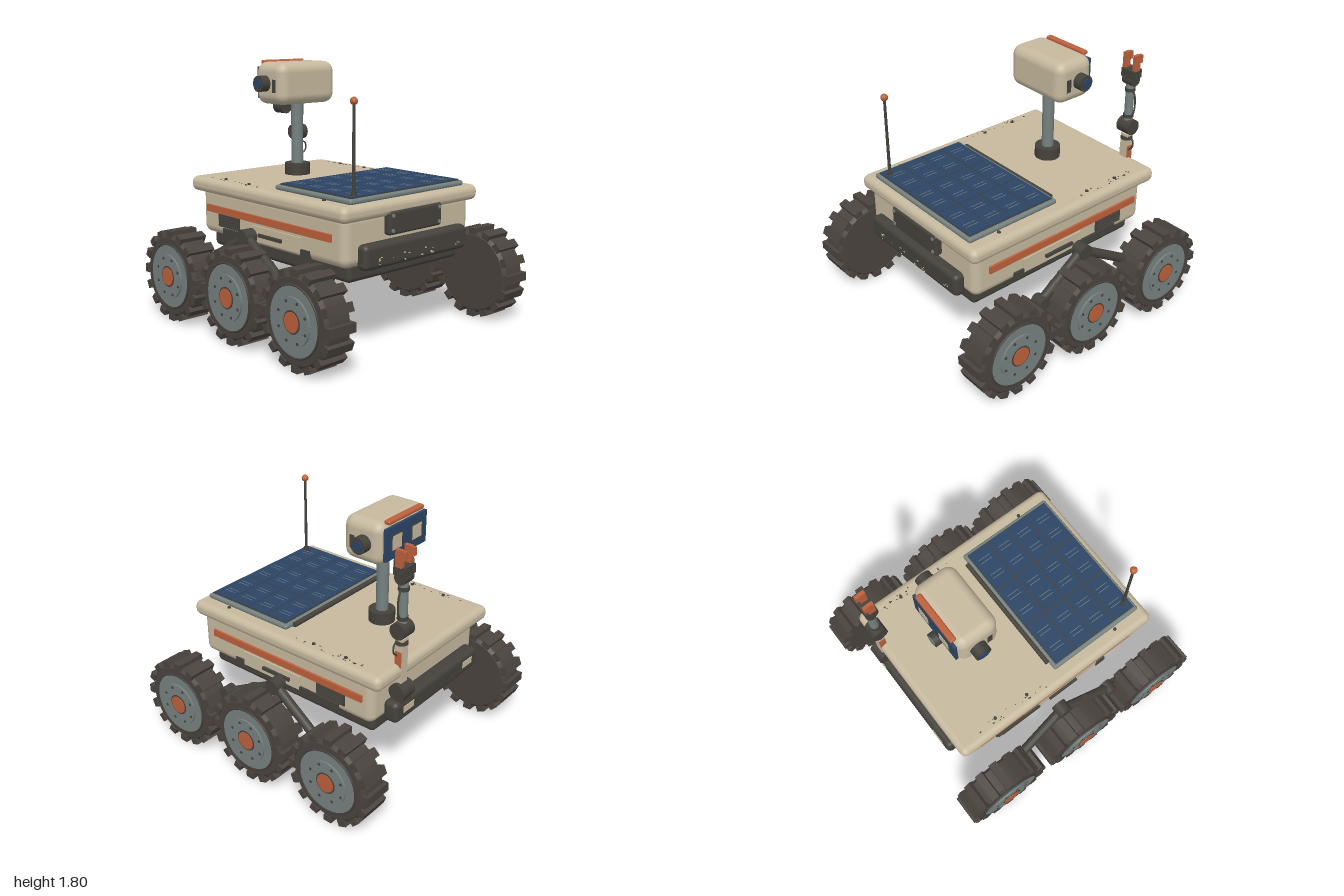
import * as THREE from 'three';
import { toCreasedNormals } from 'three/addons/utils/BufferGeometryUtils.js';
import { RoundedBoxGeometry } from 'three/addons/geometries/RoundedBoxGeometry.js';

const material = (name, color) => {
  const m = new THREE.MeshStandardMaterial({ color });
  m.name = name;
  return m;
};
const cream = material('cream paint', 0xc6b99e);
const charcoal = material('charcoal metal', 0x45423c);
const rubber = material('rubber', 0x4a433e);
const steel = material('steel', 0x75817f);
const blue = material('solar blue', 0x2b4565);
const orange = material('orange paint', 0xbd603b);

// Helpers: every part is placed by its centre.
function add(parent, name, geometry, mat, x = 0, y = 0, z = 0) {
  const mesh = new THREE.Mesh(geometry, mat);
  mesh.name = name;
  mesh.position.set(x, y, z);
  parent.add(mesh);
  return mesh;
}
const box = (w, h, d) => new THREE.BoxGeometry(w, h, d);
const rounded = (w, h, d, r) => new RoundedBoxGeometry(w, h, d, 4, r);
function cyl(r, length, axis = 'y', sides = 28, rTop = r) {
  const g = new THREE.CylinderGeometry(rTop, r, length, sides);
  if (axis === 'x') g.rotateZ(-Math.PI / 2);
  if (axis === 'z') g.rotateX(Math.PI / 2);
  return g;
}
function tube(parent, name, points, r, mat) {
  const path = new THREE.CatmullRomCurve3(points.map(p => new THREE.Vector3(...p)));
  return add(parent, name, new THREE.TubeGeometry(path, 16, r, 10), mat);
}
function rod(parent, name, a, b, r, mat) {
  const from = new THREE.Vector3(...a), to = new THREE.Vector3(...b);
  const dir = to.clone().sub(from);
  const mesh = add(parent, name, cyl(r, dir.length(), 'y', 16), mat);
  mesh.position.copy(from).add(to).multiplyScalar(0.5);
  mesh.quaternion.setFromUnitVectors(new THREE.Vector3(0, 1, 0), dir.normalize());
}
function seeded(seed) {
  return () => (seed = (seed * 16807) % 2147483647) / 2147483647;
}

// One wheel, outer face towards +x.
function makeWheel() {
  const wheel = new THREE.Group();
  const profile = [[0, -0.1], [0.27, -0.1], [0.293, -0.08], [0.293, 0.08], [0.27, 0.1], [0, 0.1]]
    .map(p => new THREE.Vector2(...p));
  const tyre = new THREE.LatheGeometry(profile, 48).rotateZ(-Math.PI / 2);
  add(wheel, 'tyre', toCreasedNormals(tyre, 0.4), rubber);
  for (let i = 0; i < 16; i++) {
    const a = (i / 16) * Math.PI * 2;
    const lug = add(wheel, 'treadLug', box(0.208, 0.045, 0.06), rubber, 0, 0.298 * Math.cos(a), 0.298 * Math.sin(a));
    lug.rotation.x = a;
  }
  add(wheel, 'rim', cyl(0.225, 0.02, 'x', 40), steel, 0.097);
  add(wheel, 'rimEdge', new THREE.TorusGeometry(0.225, 0.007, 8, 48).rotateY(Math.PI / 2), charcoal, 0.104);
  add(wheel, 'hubDisc', cyl(0.155, 0.02, 'x', 40), steel, 0.109);
  add(wheel, 'hubRing', cyl(0.074, 0.006, 'x', 32), charcoal, 0.119);
  add(wheel, 'hubCap', cyl(0.064, 0.012, 'x', 32), orange, 0.12);
  for (let i = 0; i < 8; i++) {
    const a = (i + 0.5) / 8 * Math.PI * 2;
    add(wheel, 'hubBolt', cyl(0.01, 0.006, 'x', 8), charcoal, 0.12, 0.132 * Math.cos(a), 0.132 * Math.sin(a));
  }
  return wheel;
}

function makeBody(root) {
  const body = new THREE.Group();
  body.name = 'body';
  root.add(body);
  add(body, 'hull', rounded(1.16, 0.34, 1.5, 0.06), cream, 0, 0.75, 0);
  add(body, 'deck', rounded(1.25, 0.105, 1.62, 0.045), cream, 0, 0.927, -0.02);
  add(body, 'bellyPan', rounded(1.02, 0.13, 1.42, 0.035), charcoal, 0, 0.54, 0);
  add(body, 'frontBumper', rounded(0.95, 0.165, 0.09, 0.035), charcoal, 0, 0.648, 0.778);
  add(body, 'rearBumper', rounded(0.94, 0.15, 0.11, 0.035), charcoal, 0, 0.655, -0.805);
  add(body, 'frontPlate', rounded(0.49, 0.155, 0.06, 0.02), charcoal, 0, 0.832, 0.77);
  for (const s of [-1, 1]) {
    for (const y of [0.785, 0.882]) add(body, 'plateBolt', cyl(0.013, 0.008, 'z', 10), steel, s * 0.215, y, 0.802);
    add(body, 'rearLamp', box(0.11, 0.045, 0.008), cream, s * 0.34, 0.665, -0.861);
    // Side trim, hatch, handle and louvred vent
    add(body, 'sideStripe', box(0.025, 0.05, 1.31), orange, s * 0.583, 0.766, -0.02);
    add(body, 'hatch', box(0.02, 0.105, 0.51), cream, s * 0.58, 0.667, 0.095);
    add(body, 'hatchHandle', box(0.025, 0.022, 0.24), charcoal, s * 0.595, 0.665, 0.045);
    add(body, 'vent', box(0.02, 0.088, 0.235), charcoal, s * 0.582, 0.695, -0.42);
    for (let i = 0; i < 4; i++) add(body, 'ventSlat', box(0.03, 0.007, 0.215), charcoal, s * 0.587, 0.665 + i * 0.02, -0.42);
    add(body, 'lowerBracket', box(0.03, 0.045, 0.33), charcoal, s * 0.58, 0.622, -0.32);
    add(body, 'lowerBracket', box(0.03, 0.05, 0.08), charcoal, s * 0.58, 0.622, 0.39);
    for (const z of [-0.51, -0.245, 0.52]) add(body, 'deckBolt', cyl(0.012, 0.012, 'y', 10), charcoal, s * 0.542, 0.982, z);
  }
  // Worn paint specks
  const rand = seeded(77);
  for (let i = 0; i < 36; i++) {
    const s = i % 2 ? 1 : -1, size = 0.006 + rand() * 0.007;
    add(body, 'deckChip', box(size * 0.7, 0.002, size), charcoal, s * (0.53 + rand() * 0.05), 0.98, -0.66 + rand() * 0.56);
    if (i < 18) add(body, 'bumperChip', box(size * 1.6, size * 0.7, 0.002), cream, -0.36 + rand() * 0.75, 0.59 + rand() * 0.05, 0.8235);
  }
}

function makeSolarPanel(root) {
  const panel = new THREE.Group();
  panel.name = 'solarPanel';
  root.add(panel);
  add(panel, 'panelFrame', rounded(1.05, 0.036, 0.73, 0.016), steel, 0, 0.994, 0.375);
  add(panel, 'panelBacking', box(1.0, 0.01, 0.685), charcoal, 0, 1.013, 0.377);
  add(panel, 'panelHinge', cyl(0.018, 0.91, 'x', 14), charcoal, 0, 0.993, 0.002);
  const w = 1.0 / 3, d = 0.685 / 4;
  for (let i = 0; i < 3; i++) for (let j = 0; j < 4; j++) {
    const x = (i - 1) * w, z = 0.377 + (j - 1.5) * d;
    add(panel, 'solarCell', box(w - 0.01, 0.006, d - 0.01), blue, x, 1.019, z);
    for (const k of [-0.25, -0.16, 0.16, 0.25]) {
      add(panel, 'cellContact', box(0.004, 0.002, 0.095), steel, x + k * w, 1.0225, z);
    }
  }
  // Whip antenna at the front corner
  add(panel, 'antennaBase', cyl(0.02, 0.03, 'y', 16), charcoal, -0.437, 1.03, 0.674);
  add(panel, 'antennaRod', cyl(0.011, 0.57, 'y', 12, 0.009), charcoal, -0.437, 1.305, 0.674);
  add(panel, 'antennaTip', new THREE.SphereGeometry(0.025, 20, 14), orange, -0.437, 1.6, 0.674);
}

function makeHead(root) {
  const mast = new THREE.Group();
  mast.name = 'mastAndHead';
  mast.position.z = -0.38;
  root.add(mast);
  add(mast, 'mastBase', cyl(0.09, 0.085), charcoal, 0, 1.02, 0);
  add(mast, 'mastPole', cyl(0.042, 0.48), steel, 0, 1.28, 0);
  add(mast, 'headShell', rounded(0.51, 0.295, 0.305, 0.07), cream, 0, 1.64, -0.012);
  add(mast, 'facePlate', box(0.43, 0.22, 0.02), blue, 0, 1.64, -0.167);
  add(mast, 'visor', rounded(0.37, 0.03, 0.045, 0.012), orange, 0, 1.782, -0.155);
  add(mast, 'chinCamera', cyl(0.05, 0.095, 'z'), charcoal, 0, 1.458, -0.165);
  add(mast, 'chinLens', cyl(0.038, 0.006, 'z'), steel, 0, 1.458, -0.214);
  for (const s of [-1, 1]) {
    add(mast, 'eyeFrame', box(0.112, 0.112, 0.006), charcoal, s * 0.105, 1.64, -0.178);
    add(mast, 'eyeWindow', box(0.095, 0.095, 0.006), cream, s * 0.105, 1.64, -0.181);
    add(mast, 'sideCamera', cyl(0.056, 0.09, 'x'), charcoal, s * 0.276, 1.64, -0.037);
    add(mast, 'sideLens', cyl(0.034, 0.01, 'x'), blue, s * 0.324, 1.64, -0.037);
    add(mast, 'sideSlot', box(0.008, 0.09, 0.036), charcoal, s * 0.254, 1.625, 0.057);
  }
}

function makeArm(root) {
  const arm = new THREE.Group();
  arm.name = 'roboticArm';
  arm.position.set(0.363, 0, -0.805);
  root.add(arm);
  add(arm, 'shoulderMount', box(0.11, 0.14, 0.08), charcoal, 0, 0.72, -0.01);
  add(arm, 'shoulder', cyl(0.06, 0.12, 'x'), charcoal, 0, 0.787, -0.015);
  add(arm, 'lowerLink', box(0.062, 0.36, 0.056), cream, 0, 0.98, 0);
  for (const s of [-1, 1]) add(arm, 'linkStripe', box(0.006, 0.11, 0.048), orange, s * 0.033, 1.015, 0);
  add(arm, 'elbow', cyl(0.056, 0.11, 'x'), charcoal, 0, 1.22, 0);
  add(arm, 'upperLink', cyl(0.03, 0.32, 'y', 20), steel, 0, 1.41, 0);
  for (const [y, r] of [[1.13, 0.042], [1.3, 0.036], [1.5, 0.036]]) add(arm, 'clampBand', cyl(r, 0.025, 'y', 20), charcoal, 0, y, 0);
  tube(arm, 'cable', [[0.03, 1.3, 0], [0.048, 1.34, 0], [0.05, 1.45, 0], [0.03, 1.5, 0]], 0.006, charcoal);
  tube(arm, 'cable', [[0.03, 1.14, 0.01], [0.065, 1.13, 0.01], [0.07, 1.08, 0.01], [0.033, 1.04, 0.01]], 0.006, charcoal);
  add(arm, 'wrist', cyl(0.042, 0.09, 'x'), charcoal, 0, 1.575, 0);
  add(arm, 'gripperPalm', box(0.11, 0.06, 0.085), charcoal, 0, 1.625, 0);
  for (const s of [-1, 1]) {
    add(arm, 'gripperFinger', box(0.025, 0.115, 0.05), orange, s * 0.045, 1.708, 0.005);
    add(arm, 'gripperTip', box(0.025, 0.055, 0.025), orange, s * 0.045, 1.733, -0.03);
  }
}

// Rocker suspension and three wheels per side; s = +1 is the left side.
function makeDrive(root, s) {
  const drive = new THREE.Group();
  drive.name = s > 0 ? 'leftDrive' : 'rightDrive';
  root.add(drive);
  const pivot = [s * 0.71, 0.675, -0.055], joint = [s * 0.755, 0.475, 0.35];
  const wheelZ = [0.674, 0.016, -0.671];
  const hubs = wheelZ.map(z => [s * 0.775, 0.32, z]);
  add(drive, 'rockerPivot', cyl(0.054, 0.088, 'x'), charcoal, ...pivot);
  add(drive, 'bogieJoint', cyl(0.045, 0.09, 'x'), charcoal, ...joint);
  rod(drive, 'rearRocker', pivot, hubs[2], 0.033, charcoal);
  rod(drive, 'frontRocker', pivot, joint, 0.033, charcoal);
  rod(drive, 'frontBogie', joint, hubs[0], 0.028, charcoal);
  rod(drive, 'middleBogie', joint, hubs[1], 0.028, charcoal);
  wheelZ.forEach((z, i) => {
    const wheel = makeWheel();
    wheel.name = ['frontWheel', 'middleWheel', 'rearWheel'][i];
    wheel.position.set(s * 0.817, 0.321, z);
    if (s < 0) wheel.rotation.y = Math.PI;
    drive.add(wheel);
  });
}

export function createModel() {
  const rover = new THREE.Group();
  rover.name = 'rover';
  makeBody(rover);
  makeSolarPanel(rover);
  makeHead(rover);
  makeArm(rover);
  for (const s of [-1, 1]) makeDrive(rover, s);
  return rover;
}
